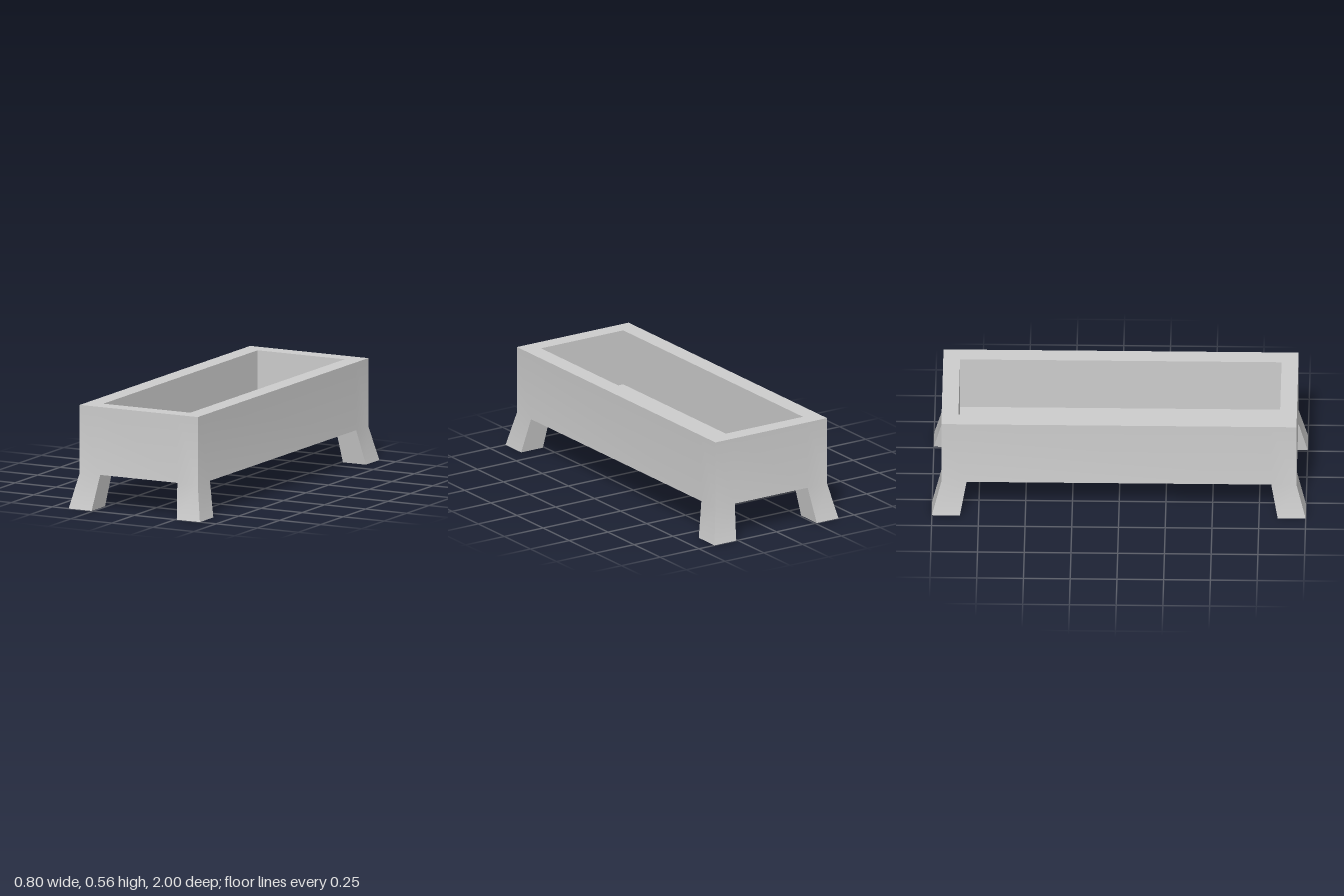
import * as THREE from 'three';
import { mergeGeometries, toCreasedNormals } from 'three/addons/utils/BufferGeometryUtils.js';

const BOTTOM = 0.19, TOP = 0.56, FLOOR = 0.255;
const OUT = { x: 0.36, z: 0.95 };      // outer half sizes of the walls
const IN = { x: 0.265, z: 0.86 };      // inner half sizes of the basin
const LEG_TOP = { x: 0.235, z: 0.815 }; // inner edges of a leg where it meets the walls
const FOOT_IN = { x: 0.26, z: 0.85 };
const FOOT_OUT = { x: 0.40, z: 1.0 };

// Rectangular wall ring, with extra outline points where the legs join
function wallsGeometry() {
  const { x, z } = OUT, lx = LEG_TOP.x, lz = LEG_TOP.z;
  const ring = new THREE.Shape([
    [-x, -z], [-lx, -z], [lx, -z], [x, -z], [x, -lz], [x, lz],
    [x, z], [lx, z], [-lx, z], [-x, z], [-x, lz], [-x, -lz],
  ].map(([a, b]) => new THREE.Vector2(a, b)));
  ring.holes.push(new THREE.Path([
    [-IN.x, -IN.z], [-IN.x, IN.z], [IN.x, IN.z], [IN.x, -IN.z],
  ].map(([a, b]) => new THREE.Vector2(a, b))));
  return new THREE.ExtrudeGeometry(ring, { depth: TOP - BOTTOM, bevelEnabled: false })
    .rotateX(-Math.PI / 2).translate(0, BOTTOM, 0);
}

// Splayed leg: a box whose corners move to the leg's top and foot outlines
function legGeometry(sx, sz) {
  const geo = new THREE.BoxGeometry(2, 2, 2).toNonIndexed();
  const p = geo.attributes.position;
  for (let i = 0; i < p.count; i++) {
    const upper = p.getY(i) > 0;
    const xs = p.getX(i) * sx > 0 ? (upper ? OUT : FOOT_OUT) : (upper ? LEG_TOP : FOOT_IN);
    const zs = p.getZ(i) * sz > 0 ? (upper ? OUT : FOOT_OUT) : (upper ? LEG_TOP : FOOT_IN);
    p.setXYZ(i, sx * xs.x, upper ? BOTTOM : 0, sz * zs.z);
  }
  return geo;
}

export function createModel() {
  const model = new THREE.Group();
  model.name = 'trough';
  const stone = new THREE.MeshStandardMaterial({ color: 0xcccccc });
  stone.name = 'light grey';

  // Walls and legs are one piece, so the shading runs softly over the bend
  const parts = [wallsGeometry()];
  for (const sx of [-1, 1]) for (const sz of [-1, 1]) parts.push(legGeometry(sx, sz));
  const body = new THREE.Mesh(toCreasedNormals(mergeGeometries(parts), 0.5), stone);
  body.name = 'wallsAndLegs';
  model.add(body);

  // Basin floor slab
  const floor = new THREE.Mesh(new THREE.BoxGeometry(2 * IN.x, FLOOR - BOTTOM, 2 * IN.z), stone);
  floor.position.y = (FLOOR + BOTTOM) / 2;
  floor.name = 'basinFloor';
  model.add(floor);
  return model;
}
